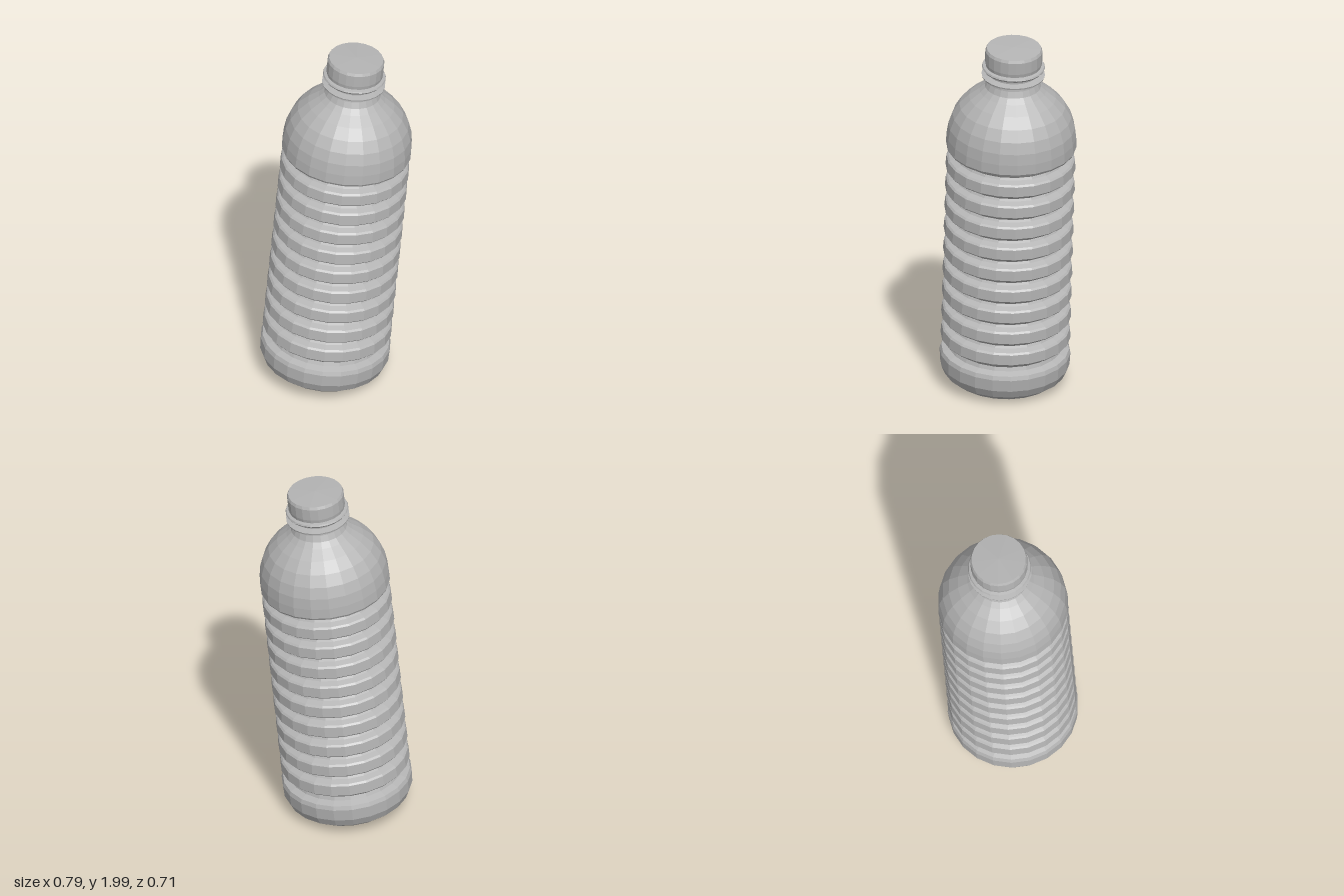
import * as THREE from 'three';

const SIDES = 22;

export function createModel() {
  const model = new THREE.Group();
  model.name = 'bottle';
  const grey = new THREE.MeshStandardMaterial({ color: 0xb4b4b4, flatShading: true });
  grey.name = 'plain grey';

  // Turns a [radius, height] profile, listed from bottom to top
  const turned = (name, profile) => {
    const points = profile.map(([r, y]) => new THREE.Vector2(r, y));
    const mesh = new THREE.Mesh(new THREE.LatheGeometry(points, SIDES), grey);
    mesh.name = name;
    model.add(mesh);
  };

  // Rounded foot
  turned('base', [
    [0, 0.025], [0.22, 0.024], [0.275, 0.04], [0.32, 0.075], [0.34, 0.12],
    [0.343, 0.185], [0.335, 0.207], [0.3, 0.22], [0.292, 0.24],
  ]);

  // Ribbed wall: nine raised bands with rounded grooves between
  const ribs = [[0.292, 0.24]];
  for (let i = 0; i < 9; i++) {
    const y = 0.306 + i * 0.1256;
    ribs.push([0.303, y - 0.052], [0.333, y - 0.036], [0.341, y - 0.027],
      [0.337, y + 0.028], [0.328, y + 0.037], [0.298, y + 0.049], [0.291, y + 0.061]);
  }
  turned('ribbedWall', ribs);

  // Domed shoulder running into the neck
  turned('shoulder', [
    [0.291, 1.372], [0.3, 1.387], [0.335, 1.402], [0.342, 1.415], [0.34, 1.47],
    [0.332, 1.53], [0.312, 1.59], [0.278, 1.648], [0.228, 1.7], [0.175, 1.742],
    [0.148, 1.768], [0.135, 1.8], [0.13, 1.83], [0.13, 1.9],
  ]);

  // Thin collar below the cap
  turned('neckRing', [
    [0.128, 1.82], [0.165, 1.828], [0.167, 1.836], [0.128, 1.843],
  ]);

  // Tamper band at the lower edge of the cap
  turned('capBand', [
    [0.128, 1.864], [0.158, 1.868], [0.166, 1.879], [0.162, 1.887], [0.14, 1.892],
  ]);

  // Cap with a softened top edge
  turned('cap', [
    [0.128, 1.886], [0.146, 1.889], [0.15, 1.91], [0.15, 1.975], [0.143, 1.99], [0, 1.995],
  ]);

  // The whole bottle leans to its left and slightly forward
  model.rotation.set(0.022, 0, -0.09);
  model.position.set(-0.073, 0, -0.014);
  const root = new THREE.Group();
  root.name = 'leaningBottle';
  root.add(model);
  return root;
}
